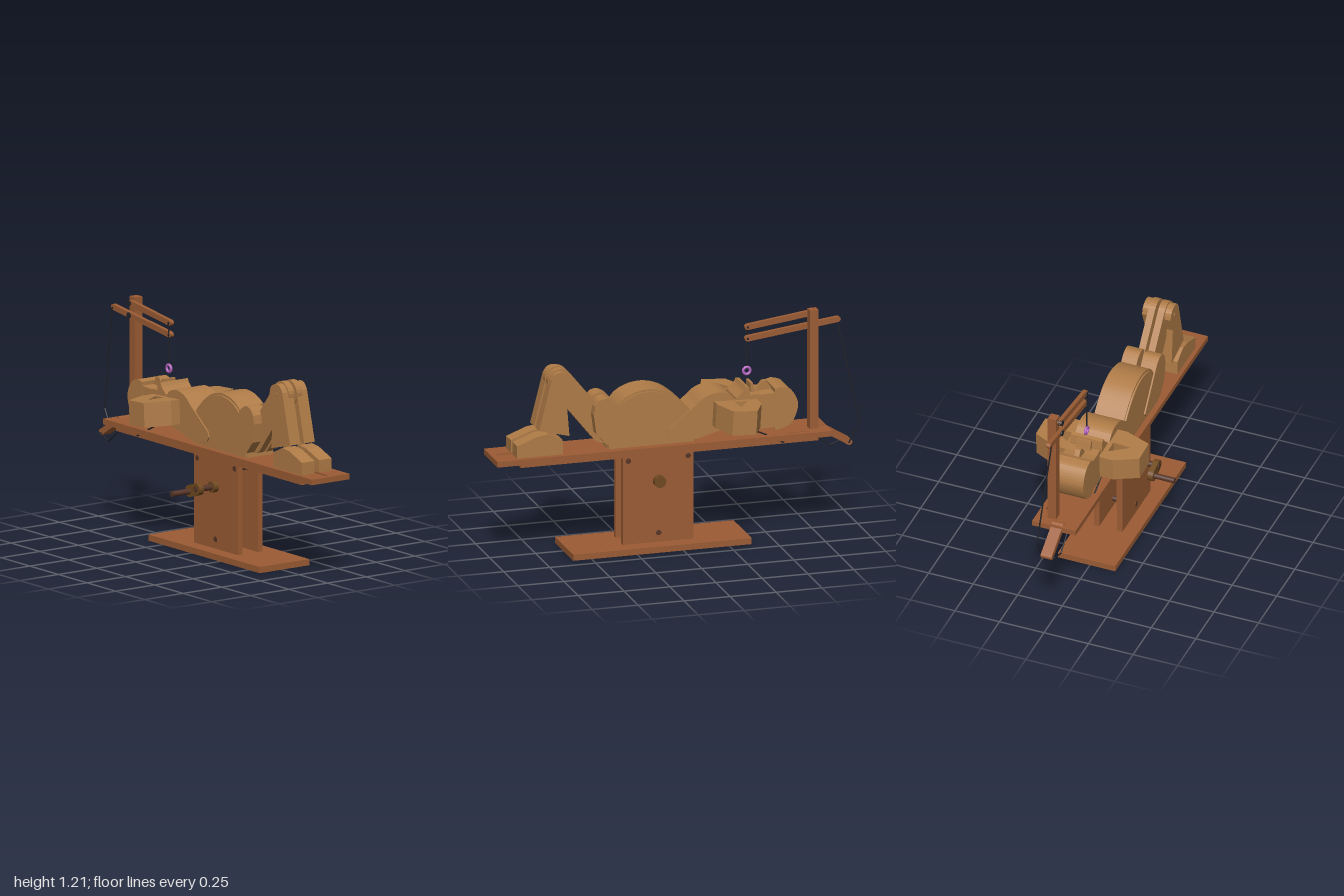
import * as THREE from 'three';

const mat = (name, color) => Object.assign(new THREE.MeshStandardMaterial({ color }), { name });
const C = -0.015; // z of the figure's centre plane

export function createModel() {
  const model = new THREE.Group();
  const wood = mat('red brown wood', 0x9c5c34), tan = mat('tan wood', 0xb07c47);
  const cam = mat('dark brown wood', 0x70491f), dark = mat('dark dowel', 0x573527);
  const black = mat('black cord', 0x22242a), pink = mat('pink ring', 0xb565c0);

  const add = (name, geo, m, x = 0, y = 0, z = 0) => {
    const mesh = new THREE.Mesh(geo, m);
    mesh.name = name;
    mesh.position.set(x, y, z);
    model.add(mesh);
    return mesh;
  };
  const box = (name, m, x0, x1, y0, y1, z0, z1) =>
    add(name, new THREE.BoxGeometry(x1 - x0, y1 - y0, z1 - z0), m, (x0 + x1) / 2, (y0 + y1) / 2, (z0 + z1) / 2);
  const shapeOf = pts => new THREE.Shape(pts.map(p => new THREE.Vector2(p[0], p[1])));
  const plate = (name, m, pts, z0, z1) =>
    add(name, new THREE.ExtrudeGeometry(shapeOf(pts), { depth: z1 - z0, bevelEnabled: false }), m, 0, 0, z0);
  // the same plate on both sides of the centre plane
  const pair = (name, m, pts, a, b) => {
    plate(name + 'Left', m, pts, C + a, C + b);
    plate(name + 'Right', m, pts, C - b, C - a);
  };
  const curve = (pts, n = 24) =>
    new THREE.SplineCurve(pts.map(p => new THREE.Vector2(p[0], p[1]))).getPoints(n).map(p => [p.x, p.y]);
  // bar outline with round ends
  const bar = (x1, y1, x2, y2, r1, r2 = r1) => {
    const a = Math.atan2(y2 - y1, x2 - x1), pts = [];
    for (const [x, y, r, s] of [[x2, y2, r2, -Math.PI / 2], [x1, y1, r1, Math.PI / 2]])
      for (let i = 0; i <= 12; i++) {
        const t = a + s + Math.PI * i / 12;
        pts.push([x + r * Math.cos(t), y + r * Math.sin(t)]);
      }
    return pts;
  };
  const dowel = (name, m, x, y, z0, z1, r) =>
    add(name, new THREE.CylinderGeometry(r, r, z1 - z0, 24).rotateX(Math.PI / 2), m, x, y, (z0 + z1) / 2);
  const cord = (name, pts) => {
    const path = new THREE.CurvePath(), v = pts.map(p => new THREE.Vector3(...p));
    for (let i = 1; i < v.length; i++) path.add(new THREE.LineCurve3(v[i - 1], v[i]));
    path.curves.forEach(c => add(name, new THREE.TubeGeometry(c, 1, 0.004, 6), black));
  };

  // stand
  box('base', wood, -0.37, 0.6, 0, 0.033, -0.178, 0.143);
  for (const z of [0.05, -0.08]) {
    box('upright', wood, -0.08, 0.305, 0.033, 0.535, z - 0.015, z + 0.015);
    box('rail', wood, -0.76, 0.86, 0.505, 0.536, z - 0.0145, z + 0.0145);
  }
  box('followerLever', wood, 0.07, 0.15, 0.05, 0.535, -0.03, 0);
  for (const [x, y] of [[-0.05, 0.488], [0.275, 0.488], [0.11, 0.083]]) {
    dowel('crossDowel', dark, x, y, -0.097, 0.067, 0.014);
  }
  dowel('leverDowel', dark, 0.11, 0.457, -0.06, 0.03, 0.013);

  // table top with slots
  const top = shapeOf([[-0.82, -0.14], [1, -0.14], [1, 0.103], [-0.82, 0.103]]);
  for (const [x0, x1, z0, z1] of [[0.82, 0.97, -0.028, -0.006], [-0.7, -0.57, -0.113, -0.103]])
    top.holes.push(new THREE.Path([[x0, z0], [x0, z1], [x1, z1], [x1, z0]].map(p => new THREE.Vector2(...p))));
  add('tableTop', new THREE.ExtrudeGeometry(top, { depth: 0.03, bevelEnabled: false }).rotateX(Math.PI / 2), wood, 0, 0.564, 0);

  // cam drum and crank
  dowel('camDrum', cam, 0.11, 0.367, -0.064, 0.034, 0.0625);
  dowel('camHubFront', cam, 0.11, 0.365, 0.034, 0.095, 0.03);
  dowel('camHubBack', cam, 0.11, 0.367, -0.126, -0.064, 0.032);
  dowel('crankShaft', dark, 0.11, 0.365, 0.095, 0.165, 0.016);
  plate('crankArm', cam, bar(0.05, 0.346, 0.11, 0.365, 0.032), 0.163, 0.193);
  dowel('crankShaftEnd', dark, 0.11, 0.365, 0.16, 0.196, 0.016);
  dowel('crankHandle', dark, 0.05, 0.344, 0.16, 0.305, 0.015);

  // post and parallel arms
  box('post', wood, -0.765, -0.718, 0.56, 1.21, -0.075, -0.028);
  plate('upperArm', wood, bar(-0.74, 1.18, -0.395, 1.135, 0.015), -0.029, -0.007);
  plate('lowerArm', wood, bar(-0.885, 1.133, -0.395, 1.072, 0.015), -0.029, -0.007);
  for (const y of [1.18, 1.115]) dowel('armPin', black, -0.74, y, -0.04, 0.0, 0.015);
  dowel('armEndPin', black, -0.395, 1.135, -0.033, -0.003, 0.006);
  dowel('armEndPin', black, -0.395, 1.072, -0.033, -0.003, 0.006);
  cord('hangingCord', [[-0.395, 1.135, -0.005], [-0.395, 0.915, -0.008]]);
  add('ring', new THREE.TorusGeometry(0.019, 0.0075, 12, 28), pink, -0.395, 0.893, -0.008);

  // tail lever and its cords
  plate('tailLever', wood, bar(-0.945, 0.46, -0.79, 0.555, 0.016), -0.036, 0.026);
  cord('pullCord', [[-0.885, 1.133, -0.005], [-0.998, 0.57, -0.04], [-0.94, 0.458, -0.04]]);
  cord('pullCord', [[-0.94, 0.458, -0.04], [-0.94, 0.458, 0.038], [-0.86, 0.43, 0.038], [-0.75, 0.515, 0.035]]);
  for (const z of [C - 0.085, C + 0.085])
    cord('jawCord', [[-0.385, 0.605, z], [-0.47, 0.565, z], [-0.57, 0.512, z]]);

  // head
  plate('headBack', tan, [[-0.52, 0.81], ...curve([[-0.55, 0.818], [-0.61, 0.795], [-0.645, 0.715], [-0.61, 0.62], [-0.54, 0.588]]), [-0.52, 0.59]], C - 0.09, C + 0.09);
  plate('face', tan, [[-0.54, 0.6], [-0.37, 0.6], [-0.35, 0.64], [-0.36, 0.77], [-0.4, 0.79], [-0.45, 0.785], [-0.54, 0.79]], C - 0.086, C + 0.086);
  plate('nose', tan, [[-0.53, 0.78], [-0.43, 0.78], [-0.475, 0.835], [-0.495, 0.835]], C - 0.014, C + 0.014);
  plate('upperLip', tan, [[-0.43, 0.77], [-0.4, 0.77], [-0.4, 0.838], [-0.415, 0.838]], C - 0.04, C + 0.04);
  plate('jaw', tan, [[-0.4, 0.65], [-0.3, 0.65], [-0.3, 0.74], ...curve([[-0.31, 0.78], [-0.345, 0.81], [-0.36, 0.835]], 8), [-0.38, 0.83], [-0.39, 0.76]], C - 0.089, C + 0.089);

  // chest and belly
  plate('chest', tan, [...curve([[-0.31, 0.76], [-0.27, 0.805], [-0.21, 0.822], [-0.14, 0.805], [-0.09, 0.765]], 16),
    [0.06, 0.65], [0.072, 0.62], [0.055, 0.595], [0.0, 0.578], [-0.1, 0.582], [-0.29, 0.635]], C - 0.096, C + 0.096);
  const belly = curve([[0.38, 0.72], [0.315, 0.815], [0.245, 0.857], [0.16, 0.87], [0.075, 0.85], [0, 0.8], [-0.08, 0.72]], 32);
  plate('belly', tan, [[-0.08, 0.566], [0.39, 0.566], ...belly], C - 0.08, C + 0.08);
  plate('bellyRim', tan, [[-0.08, 0.566], [0.385, 0.566], ...belly.map(p => [p[0], p[1] - 0.012])], C - 0.089, C + 0.089);

  // arms bent outward at the elbow
  for (const s of [1, -1]) {
    const flip = pts => pts.map(p => [p[0], s * p[1]]);
    const arm = shapeOf(flip([[-0.42, 0.09], [-0.42, 0.165], [-0.36, 0.29], [-0.23, 0.29], [-0.18, 0.15], [-0.18, 0.07], [-0.37, 0.07]]));
    arm.holes.push(new THREE.Path(flip([[-0.36, 0.115], [-0.285, 0.115], [-0.295, 0.215]]).map(p => new THREE.Vector2(...p))));
    const geo = new THREE.ExtrudeGeometry(arm, { depth: 0.13, bevelEnabled: false });
    geo.rotateX(Math.PI / 2).translate(0.3, 0.065, 0);
    add(s > 0 ? 'armLeft' : 'armRight', geo, tan, -0.3, 0.705, C).rotation.z = 0.06;
  }

  // legs: hip, thigh, shin, foot
  pair('hip', tan, [[0.19, 0.612], [0.21, 0.588], [0.36, 0.588], [0.4, 0.595], [0.455, 0.66], [0.468, 0.76],
    ...curve([[0.46, 0.805], [0.435, 0.836], [0.395, 0.845], [0.355, 0.825]], 12)], 0.012, 0.097);
  pair('thigh', tan, bar(0.4, 0.655, 0.635, 0.947, 0.066), 0.008, 0.045);
  pair('shin', tan, [...curve([[0.692, 0.965], [0.67, 0.995], [0.635, 1.003], [0.595, 0.985], [0.58, 0.945]], 14),
    [0.612, 0.86], [0.595, 0.655], [0.76, 0.697]], 0.012, 0.08);
  pair('ankle', tan, [[0.675, 0.63], [0.7, 0.63], [0.7, 0.7], [0.675, 0.7]], 0.03, 0.06);
  pair('foot', tan, [[0.635, 0.564], [0.885, 0.564], [0.885, 0.63], [0.775, 0.672], [0.715, 0.68], [0.637, 0.642]], 0.014, 0.096);
  dowel('kneePin', tan, 0.635, 0.947, C - 0.083, C + 0.083, 0.012);
  return model;
}
